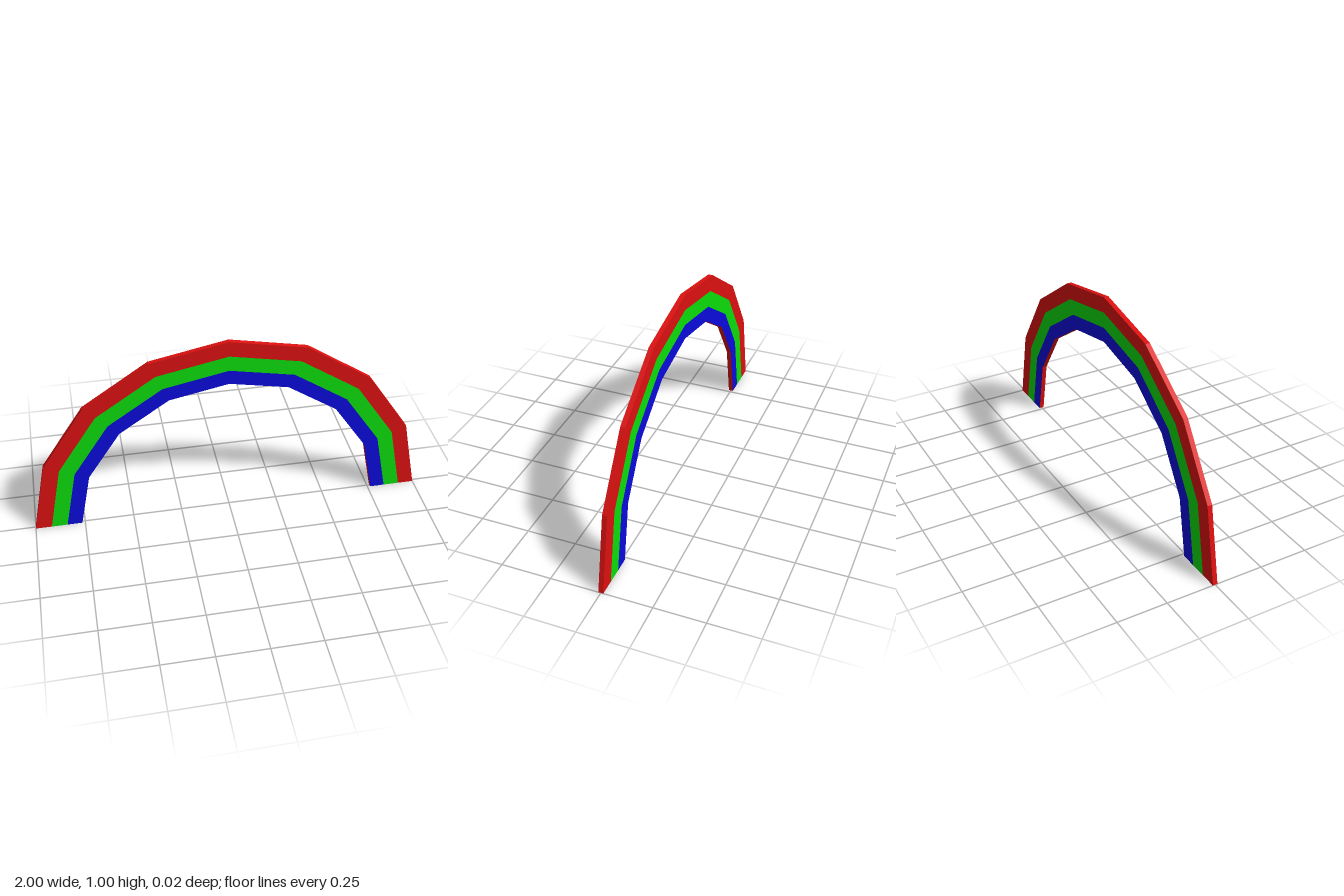
import * as THREE from 'three';
import { mergeGeometries } from 'three/addons/utils/BufferGeometryUtils.js';

const SEGMENTS = 8;
const DEPTH = 0.024;
const RADII = [1, 0.92, 0.84, 0.765];

const paint = (color, side = THREE.FrontSide) =>
  new THREE.MeshStandardMaterial({ color, side, flatShading: true });

// One coloured stripe: front face, back face and the two feet
function stripe(name, inner, outer, color) {
  const front = new THREE.RingGeometry(inner, outer, SEGMENTS, 1, 0, Math.PI);
  const back = front.clone().rotateY(Math.PI);
  front.translate(0, 0, DEPTH / 2);
  back.translate(0, 0, -DEPTH / 2);
  const feet = [-1, 1].map((s) =>
    new THREE.PlaneGeometry(outer - inner, DEPTH)
      .rotateX(Math.PI / 2)
      .translate((s * (inner + outer)) / 2, 0, 0));
  const mesh = new THREE.Mesh(mergeGeometries([front, back, ...feet]), paint(color));
  mesh.name = name;
  return mesh;
}

// Half-round edge wall running along the arch
function edge(name, radius, color, side) {
  const wall = new THREE.CylinderGeometry(
    radius, radius, DEPTH, SEGMENTS, 1, true, Math.PI / 2, Math.PI).rotateX(Math.PI / 2);
  const mesh = new THREE.Mesh(wall, paint(color, side));
  mesh.name = name;
  return mesh;
}

export function createModel() {
  const arch = new THREE.Group();
  arch.name = 'rainbowArch';
  const red = 0xdd1111, green = 0x0bdd0b, blue = 0x0b0bdd;

  arch.add(stripe('redStripe', RADII[1], RADII[0], red));
  arch.add(stripe('greenStripe', RADII[2], RADII[1], green));
  arch.add(stripe('blueStripe', RADII[3], RADII[2], blue));

  // Red walls above and below the stripes
  arch.add(edge('outerEdge', RADII[0], red, THREE.FrontSide));
  arch.add(edge('innerEdge', RADII[3], red, THREE.DoubleSide));
  return arch;
}
